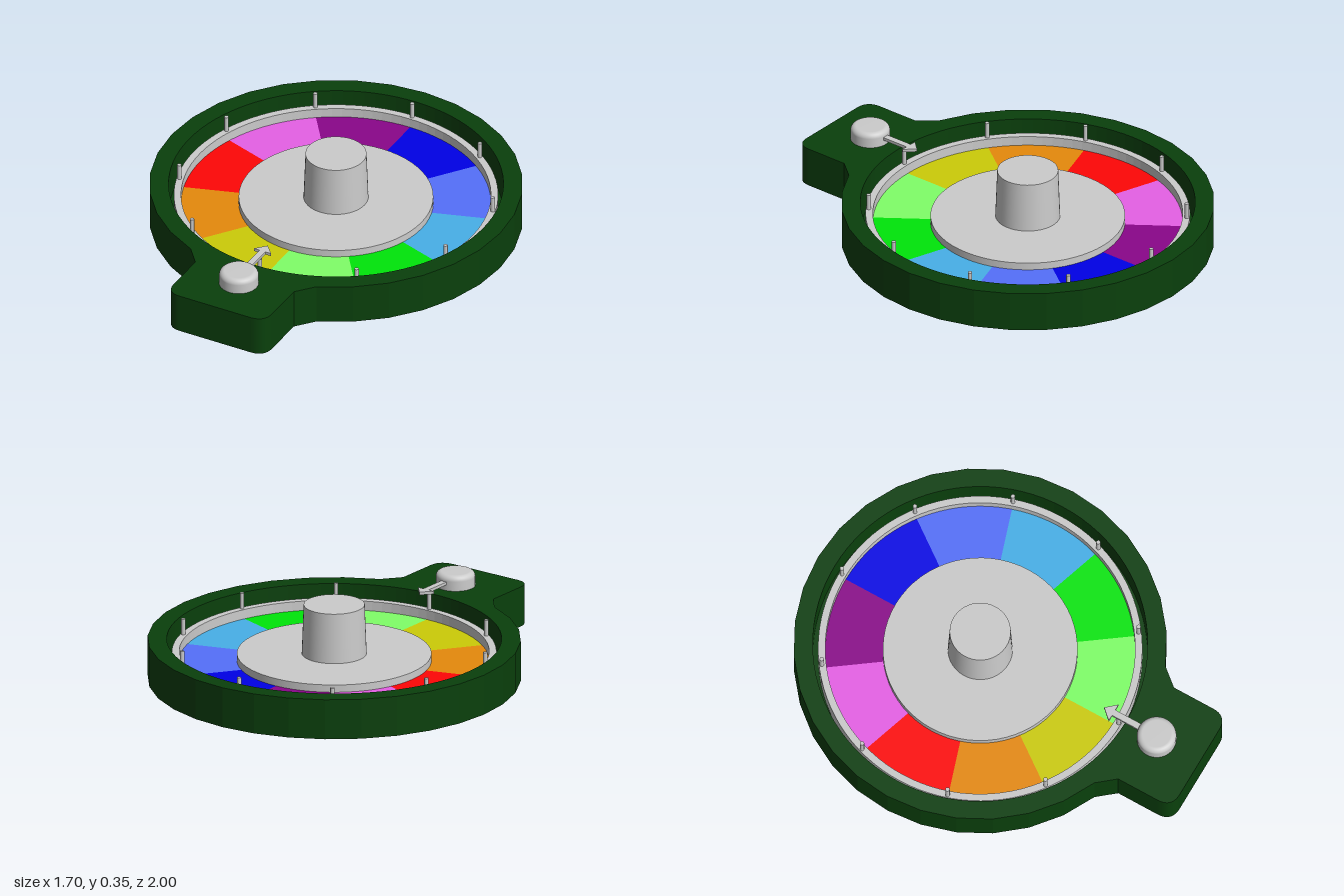
import * as THREE from 'three';

const CZ = -0.15; // wheel centre on z
const grey = () => new THREE.MeshStandardMaterial({ color: 0xcccccc });
const paint = (color) => new THREE.MeshStandardMaterial({ color });

function add(parent, name, geometry, material = grey()) {
  const mesh = new THREE.Mesh(geometry, material);
  mesh.name = name;
  parent.add(mesh);
  return mesh;
}

// Plan shape (shape y = -z) raised from height y0 to y1
function slab(shape, y0, y1, curveSegments = 24) {
  const g = new THREE.ExtrudeGeometry(shape, { depth: y1 - y0, bevelEnabled: false, curveSegments });
  return g.rotateX(-Math.PI / 2).translate(0, y0, 0);
}

function lathe(points, segments = 64) {
  return new THREE.LatheGeometry(points.map(([r, y]) => new THREE.Vector2(r, y)), segments);
}

// Round body with a rounded tab towards the front
function bodyOutline() {
  const R = 0.85, n = 32, w = 0.255, c = 0.075;
  const s = new THREE.Shape();
  s.moveTo(-w, -0.72);
  s.lineTo(-w, -1 + c);
  s.quadraticCurveTo(-w, -1, -w + c, -1);
  s.lineTo(w - c, -1);
  s.quadraticCurveTo(w, -1, w, -1 + c);
  s.lineTo(w, -0.72);
  for (let i = 2; i <= n - 2; i++) {
    const a = -Math.PI / 2 + (i / n) * Math.PI * 2;
    s.lineTo(R * Math.cos(a), -CZ + R * Math.sin(a));
  }
  s.closePath();
  return s;
}

export function createModel() {
  const model = new THREE.Group();
  model.name = 'numberWheelGame';

  // Body: closed floor and rim around the recess
  const green = paint(0x0a400c);
  const body = new THREE.Group();
  body.name = 'body';
  model.add(body);
  add(body, 'floor', slab(bodyOutline(), 0, 0.03), green);
  const rim = bodyOutline();
  rim.holes.push(new THREE.Path().absarc(0, -CZ, 0.762, 0, Math.PI * 2, true));
  add(body, 'rim', slab(rim, 0.03, 0.19, 48), green);

  // Spinning wheel
  const wheel = new THREE.Group();
  wheel.name = 'wheel';
  wheel.position.z = CZ;
  model.add(wheel);

  // Raised outer ring
  const ring = new THREE.Shape().absarc(0, 0, 0.738, 0, Math.PI * 2, false);
  ring.holes.push(new THREE.Path().absarc(0, 0, 0.705, 0, Math.PI * 2, true));
  add(wheel, 'outerRing', slab(ring, 0.04, 0.13, 48));

  // Ten coloured sectors, clockwise from the back, and a peg at each border
  const colors = [0x0000e6, 0x5570fa, 0x47b0e8, 0x00e60a, 0x80ff68,
    0xcccc08, 0xe68a0c, 0xff0606, 0xe660e6, 0x8a068a];
  const step = (Math.PI * 2) / colors.length;
  colors.forEach((color, i) => {
    const a = Math.PI / 2 - i * step;
    const sector = new THREE.Shape();
    sector.absarc(0, 0, 0.705, a, a - step, true);
    sector.absarc(0, 0, 0.43, a - step, a, false);
    add(wheel, 'sector' + (i + 1), slab(sector, 0.04, 0.085, 12), paint(color));
    const peg = add(wheel, 'peg' + (i + 1), new THREE.CylinderGeometry(0.01, 0.01, 0.085, 12));
    peg.position.set(0.725 * Math.cos(a), 0.1625, -0.725 * Math.sin(a));
  });

  // Hub plate and gently tapered knob
  add(wheel, 'hub', new THREE.CylinderGeometry(0.443, 0.443, 0.08, 64)).position.y = 0.08;
  add(wheel, 'knob', new THREE.CylinderGeometry(0.139, 0.148, 0.24, 48)).position.y = 0.235;

  // Pointer on the tab: rounded button and flat arrow
  const pointer = new THREE.Group();
  pointer.name = 'pointer';
  model.add(pointer);
  const profile = [[0.09, 0.185], [0.09, 0.235]];
  for (let i = 1; i <= 6; i++) {
    const a = (i / 6) * Math.PI / 2;
    profile.push([0.065 + 0.025 * Math.cos(a), 0.235 + 0.025 * Math.sin(a)]);
  }
  profile.push([0, 0.26]);
  add(pointer, 'button', lathe(profile, 40)).position.z = 0.775;
  const arrow = new THREE.Shape([[-0.015, -0.72], [0.015, -0.72], [0.015, -0.55],
    [0.045, -0.55], [0, -0.5], [-0.045, -0.55], [-0.015, -0.55]]
    .map(([x, y]) => new THREE.Vector2(x, y)));
  add(pointer, 'arrow', slab(arrow, 0.218, 0.232));

  return model;
}
